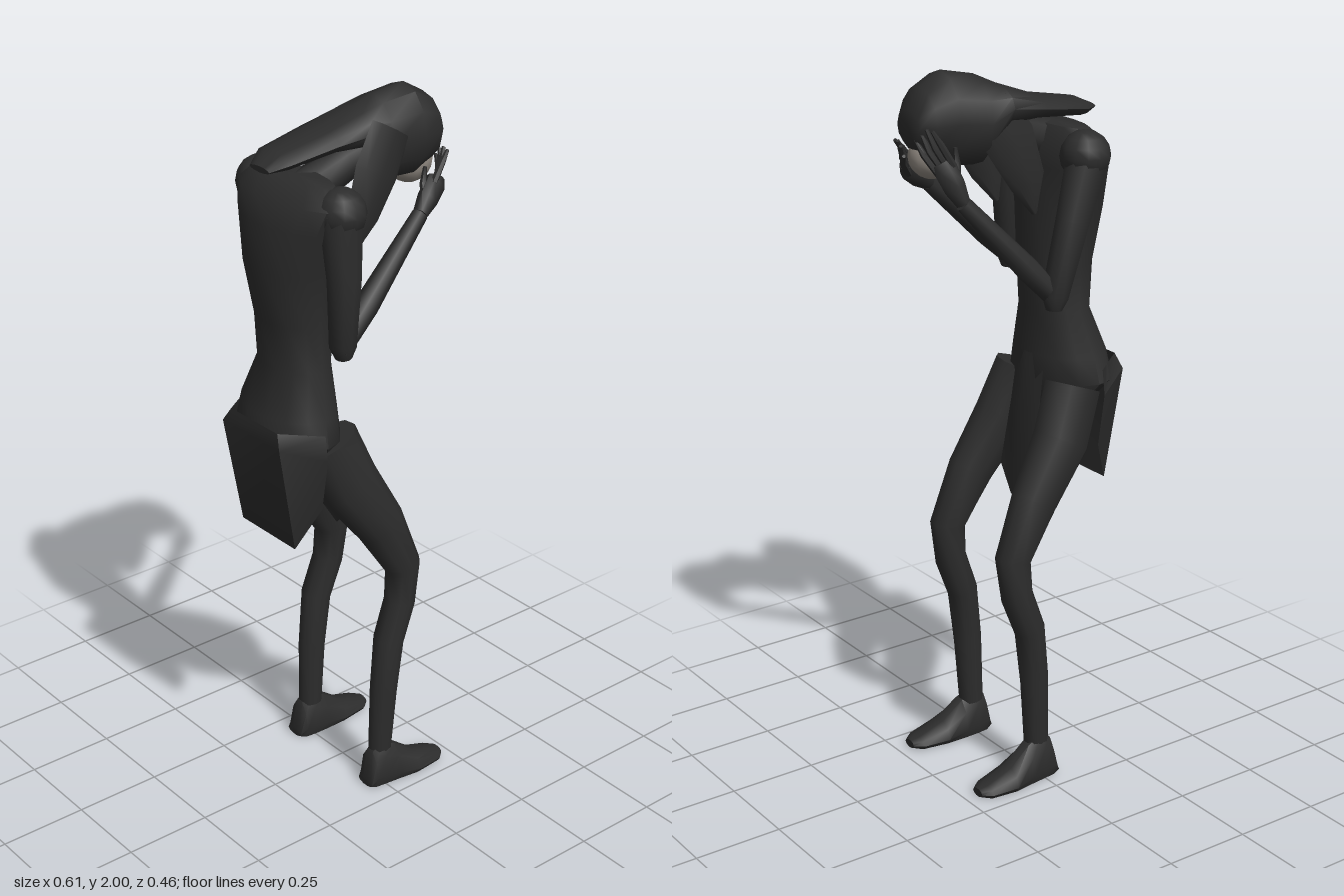
import * as THREE from 'three';
import { toCreasedNormals } from 'three/addons/utils/BufferGeometryUtils.js';

const skin = new THREE.MeshStandardMaterial({ color: 0x2c2c2c });
skin.name = 'charcoal';
const cloth = new THREE.MeshStandardMaterial({ color: 0x2a2a2a, side: THREE.DoubleSide });
cloth.name = 'dark cloth';
const pale = new THREE.MeshStandardMaterial({ color: 0x8f8880 });
pale.name = 'pale face';

const X = new THREE.Vector3(1, 0, 0);
const Y = new THREE.Vector3(0, 1, 0);
const Z = new THREE.Vector3(0, 0, 1);

// Closed skin over elliptical sections [x, y, z, half width, half depth].
// Rings face along "axis", or along the path when no axis is given.
function loft(sections, sides, axis = null, crease = 0.9) {
  const pos = [], idx = [], n = sections.length;
  const c = sections.map(s => new THREE.Vector3(s[0], s[1], s[2]));
  for (let i = 0; i < n; i++) {
    const d = axis ? axis.clone()
      : c[Math.min(i + 1, n - 1)].clone().sub(c[Math.max(i - 1, 0)]).normalize();
    const u = Z.clone().addScaledVector(d, -d.z).normalize();
    const v = d.clone().cross(u);
    for (let j = 0; j < sides; j++) {
      const t = j / sides * Math.PI * 2;
      const p = c[i].clone()
        .addScaledVector(u, Math.cos(t) * sections[i][3])
        .addScaledVector(v, Math.sin(t) * sections[i][4]);
      pos.push(p.x, Math.max(p.y, 0), p.z);
    }
  }
  pos.push(...c[0].toArray(), ...c[n - 1].toArray());
  for (let j = 0; j < sides; j++) {
    const k = (j + 1) % sides, e = (n - 1) * sides;
    for (let i = 0; i < n - 1; i++) {
      const a = i * sides + j, b = i * sides + k;
      idx.push(a, b, a + sides, b, b + sides, a + sides);
    }
    idx.push(n * sides, k, j, n * sides + 1, e + j, e + k);
  }
  const g = new THREE.BufferGeometry();
  g.setAttribute('position', new THREE.Float32BufferAttribute(pos, 3));
  g.setIndex(idx);
  return toCreasedNormals(g, crease);
}

// Open sheet from rows of points with equal length
function sheet(rows) {
  const w = rows[0].length, idx = [];
  for (let r = 0; r < rows.length - 1; r++)
    for (let k = 0; k < w - 1; k++) {
      const a = r * w + k;
      idx.push(a, a + w, a + 1, a + 1, a + w, a + w + 1);
    }
  const g = new THREE.BufferGeometry();
  g.setAttribute('position', new THREE.Float32BufferAttribute(rows.flat(2), 3));
  g.setIndex(idx);
  return toCreasedNormals(g, 0.7);
}

export function createModel() {
  const model = new THREE.Group();
  const add = (name, geo, mat = skin) => {
    const m = new THREE.Mesh(geo, mat);
    m.name = name;
    model.add(m);
    return m;
  };

  // Hunched torso with a narrow waist
  add('torso', loft([
    [-0.16, 1.03, 0, 0.10, 0.06], [-0.19, 1.13, 0, 0.175, 0.118],
    [-0.185, 1.2, 0, 0.16, 0.108], [-0.165, 1.32, 0, 0.12, 0.082],
    [-0.165, 1.45, 0, 0.115, 0.095], [-0.178, 1.6, 0, 0.14, 0.106],
    [-0.175, 1.72, 0, 0.18, 0.098], [-0.165, 1.785, 0, 0.205, 0.085],
    [-0.155, 1.83, 0, 0.15, 0.045],
  ], 14, Y));
  add('neck', loft([[-0.15, 1.77, 0, 0.06, 0.06], [0, 1.82, 0, 0.045, 0.05],
    [0.13, 1.85, 0, 0.05, 0.055]], 8));

  // Head with hair swept back over the shoulders
  add('headAndHair', loft([
    [-0.26, 1.86, -0.01, 0.04, 0.008], [-0.2, 1.868, -0.03, 0.07, 0.025],
    [-0.05, 1.888, -0.037, 0.085, 0.032], [0.05, 1.9, -0.028, 0.09, 0.055],
    [0.11, 1.865, -0.015, 0.09, 0.118], [0.2, 1.875, 0, 0.096, 0.125],
    [0.265, 1.872, 0, 0.085, 0.092], [0.298, 1.865, 0, 0.05, 0.045],
  ], 12, X));
  const face = add('face', new THREE.SphereGeometry(1, 14, 10), pale);
  face.scale.set(0.068, 0.062, 0.055);
  face.position.set(0.225, 1.785, 0);

  // Cloth flaps at front and back
  add('frontFlap', sheet([
    [[-0.09, 1.2, -0.06], [-0.075, 1.2, 0], [-0.09, 1.2, 0.06]],
    [[-0.07, 1.05, -0.065], [-0.05, 1.05, 0], [-0.07, 1.05, 0.065]],
    [[-0.045, 0.86, -0.075], [-0.03, 0.79, 0.01], [-0.045, 0.86, 0.08]],
  ]), cloth);
  add('backFlap', sheet([
    [[-0.2, 1.17, -0.175], [-0.3, 1.18, -0.1], [-0.3, 1.18, 0.1], [-0.2, 1.17, 0.175]],
    [[-0.2, 1.1, -0.185], [-0.31, 1.14, -0.125], [-0.31, 1.14, 0.12], [-0.2, 1.1, 0.185]],
    [[-0.2, 0.95, -0.16], [-0.258, 0.83, -0.115], [-0.258, 0.83, 0.115], [-0.2, 0.95, 0.16]],
  ]), cloth);

  // Each arm: shoulder-to-elbow, elbow-to-wrist, palm path and fingertip centre
  const arms = {
    1: { elbow: [-0.155, 1.42, 0.19], wrist: [0.16, 1.68, 0.12],
      palm: [0.235, 1.735, 0.09], tip: [0.293, 1.82, 0.05] },
    '-1': { elbow: [-0.025, 1.41, -0.19], wrist: [0.215, 1.68, -0.122],
      palm: [0.25, 1.765, -0.1], tip: [0.288, 1.87, -0.055] },
  };

  for (const s of [1, -1]) {
    const side = s > 0 ? 'front' : 'rear';

    // Leg, bent at the knee
    add(side + 'Leg', loft([
      [-0.145, 1.12, s * 0.115, 0.07, 0.085], [-0.09, 0.98, s * 0.135, 0.066, 0.088],
      [0.01, 0.83, s * 0.15, 0.055, 0.072], [0.085, 0.68, s * 0.157, 0.047, 0.053],
      [0.073, 0.57, s * 0.16, 0.043, 0.046], [0.032, 0.46, s * 0.163, 0.043, 0.044],
      [0.015, 0.3, s * 0.163, 0.037, 0.042], [0.006, 0.1, s * 0.16, 0.029, 0.037],
    ], 10));
    add(side + 'Foot', loft([
      [-0.05, 0.012, s * 0.165, 0.03, 0.012], [-0.032, 0.03, s * 0.163, 0.038, 0.085],
      [0.0, 0.03, s * 0.163, 0.043, 0.105], [0.045, 0.025, s * 0.165, 0.047, 0.09],
      [0.11, 0.015, s * 0.17, 0.052, 0.05], [0.19, 0.014, s * 0.172, 0.043, 0.02],
      [0.215, 0.014, s * 0.172, 0.022, 0.012],
    ], 10, X));

    // Lock of hair hanging beside the face
    add(side + 'HairLock', loft([
      [0.1, 1.91, s * 0.07, 0.025, 0.07], [0.04, 1.81, s * 0.085, 0.024, 0.075],
      [-0.01, 1.7, s * 0.09, 0.018, 0.055], [-0.035, 1.61, s * 0.085, 0.006, 0.008],
    ], 8));

    const { elbow: e, wrist: w, palm: p, tip: t } = arms[s];
    add(side + 'Shoulder', new THREE.SphereGeometry(0.068, 12, 8))
      .position.set(-0.14, 1.765, s * 0.163);
    add(side + 'UpperArm', loft([
      [-0.145, 1.77, s * 0.17, 0.055, 0.06],
      [-0.14 + (e[0] + 0.14) * 0.5, 1.6, s * 0.186, 0.044, 0.048],
      [...e, 0.036, 0.038], [e[0] + 0.003, e[1] - 0.035, e[2], 0.022, 0.022],
    ], 10));
    add(side + 'Forearm', loft([
      [e[0] - 0.015, e[1] - 0.015, e[2], 0.028, 0.028],
      [e[0] + (w[0] - e[0]) * 0.3, e[1] + (w[1] - e[1]) * 0.3, e[2] + (w[2] - e[2]) * 0.3, 0.033, 0.033],
      [...w, 0.021, 0.022],
    ], 8));
    add(side + 'Palm', loft([
      [...w, 0.02, 0.02],
      [(w[0] + p[0]) / 2, (w[1] + p[1]) / 2, (w[2] + p[2]) / 2, 0.025, 0.032],
      [...p, 0.024, 0.034],
      [p[0] + (t[0] - p[0]) * 0.2, p[1] + (t[1] - p[1]) * 0.2, p[2] + (t[2] - p[2]) * 0.2, 0.02, 0.026],
    ], 8));

    // Fingers spread over the brow, thumb along the cheek
    for (let k = 0; k < 4; k++) {
      const f = k - 1.5, drop = Math.abs(f) * 0.012;
      add(side + 'Finger', loft([
        [p[0] + f * 0.009, p[1] - f * 0.008, p[2] - s * f * 0.008, 0.01, 0.01],
        [(p[0] + t[0]) / 2 + 0.008 + f * 0.008, (p[1] + t[1]) / 2 - f * 0.01, (p[2] + t[2]) / 2 - s * f * 0.014, 0.009, 0.009],
        [t[0] + f * 0.004, t[1] - drop - f * 0.01, t[2] - s * f * 0.02, 0.005, 0.005],
      ], 6));
    }
    add(side + 'Thumb', loft([
      [w[0] + 0.02, w[1] + 0.02, w[2], 0.012, 0.012],
      [p[0] - 0.035, p[1] + 0.01, p[2] - s * 0.005, 0.01, 0.01],
      [p[0] - 0.03, p[1] + 0.055, p[2] - s * 0.005, 0.005, 0.005],
    ], 6));
  }
  return model;
}
